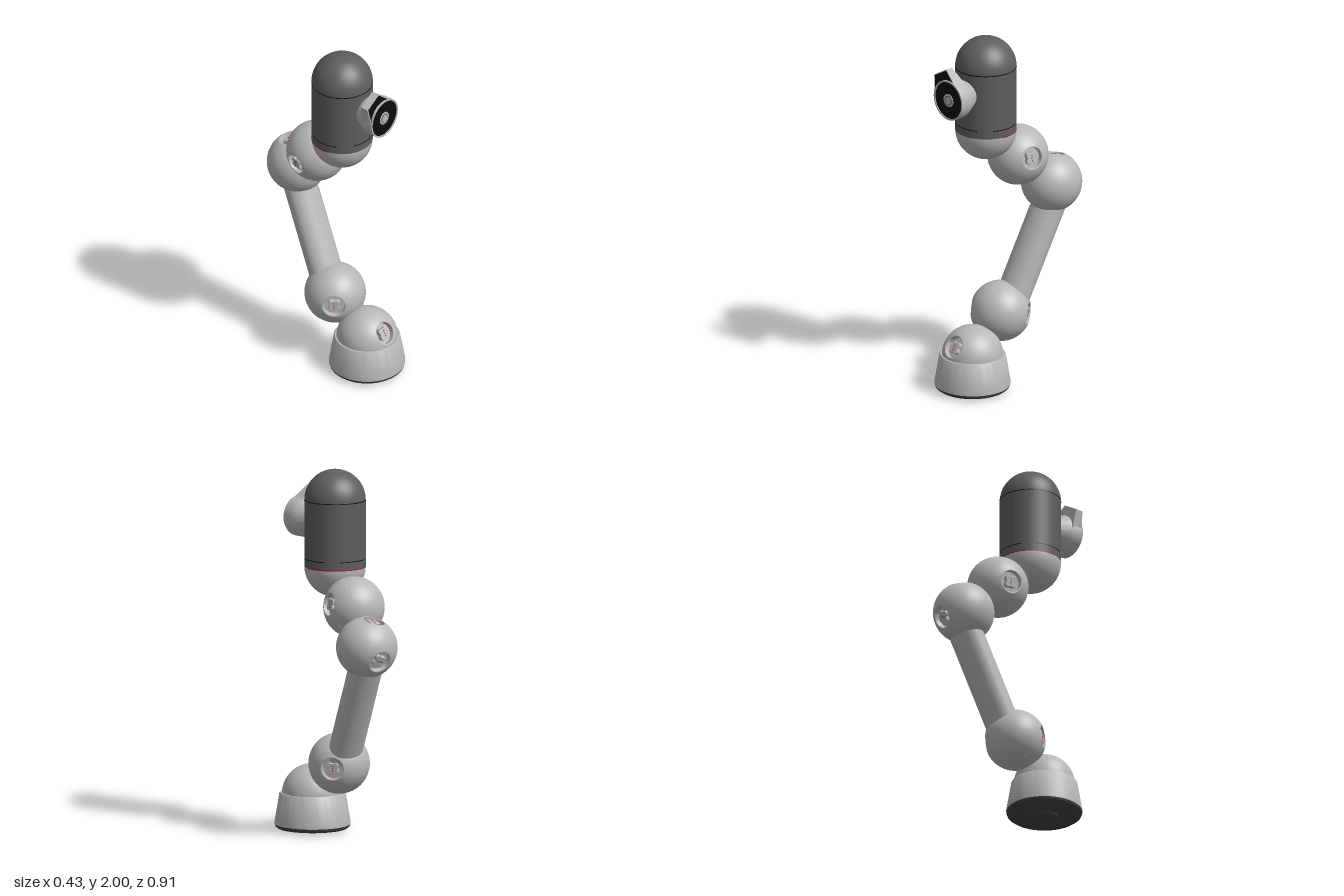
import * as THREE from 'three';
import { toCreasedNormals } from 'three/addons/utils/BufferGeometryUtils.js';

const mat = (name, color, side = THREE.FrontSide) => {
  const m = new THREE.MeshStandardMaterial({ color, side });
  m.name = name;
  return m;
};
const V = (x, y, z) => new THREE.Vector3(x, y, z);
const UP = V(0, 1, 0);
const R = 0.167;        // ball radius
const HOLE = 0.4;       // half angle of a socket opening
const GAP = 0.44;       // half angle of the patch left open around it

export function createModel() {
  const light = mat('light grey shell', 0xb8b8b8);
  const dark = mat('dark grey shell', 0x5e5e5e);
  const foot = mat('charcoal rubber', 0x404040);
  const black = mat('black', 0x0c0c0c);
  const red = mat('red', 0xb01020);

  const model = new THREE.Group();
  model.name = 'robotArm';
  const add = (parent, name, geo, material, x = 0, y = 0, z = 0) => {
    const mesh = new THREE.Mesh(geo, material);
    mesh.name = name;
    mesh.position.set(x, y, z);
    parent.add(mesh);
    return mesh;
  };
  const group = (parent, name, x, y, z) => {
    const g = new THREE.Group();
    g.name = name;
    g.position.set(x, y, z);
    parent.add(g);
    return g;
  };
  const lathe = (pts, seg = 64) => toCreasedNormals(
    new THREE.LatheGeometry(pts.map(p => new THREE.Vector2(...p)), seg), 0.5);

  // Socket: rounded collar, recessed well and a four-lobed plug, along local +y
  const collar = [];
  for (let i = 0; i <= 8; i++) {
    const a = 0.68 + (HOLE - 0.68) * i / 8;
    collar.push([R * Math.sin(a), R * Math.cos(a)]);
  }
  const rim = R * Math.sin(HOLE), lip = R * Math.cos(HOLE);
  const collarGeo = lathe([...collar, [rim - 0.005, lip - 0.001],
    [rim - 0.007, lip - 0.028], [0, lip - 0.028]], 48);
  const lobes = new THREE.Shape();
  for (let i = 0; i < 48; i++) {
    const a = i / 48 * Math.PI * 2;
    const r = 0.032 + 0.006 * Math.cos(4 * a);
    lobes[i ? 'lineTo' : 'moveTo'](r * Math.cos(a), r * Math.sin(a));
  }
  const plugGeo = new THREE.ExtrudeGeometry(lobes, {
    depth: 0.022, bevelEnabled: true, bevelSize: 0.002, bevelThickness: 0.002, bevelSegments: 1,
  }).rotateX(-Math.PI / 2).rotateY(Math.PI / 4);
  const pinGeo = new THREE.BoxGeometry(0.006, 0.002, 0.006);

  function socket(parent, dir) {
    const s = group(parent, 'socket', 0, 0, 0);
    s.quaternion.setFromUnitVectors(UP, dir);
    add(s, 'socketCollar', collarGeo, light);
    add(s, 'socketPlug', plugGeo, light, 0, lip - 0.028, 0);
    for (const k of [-1, 0, 1]) add(s, 'contactPin', pinGeo, red, 0, lip - 0.003, k * 0.014);
  }

  // Ball joint: sphere patches leave room for sockets on one great circle
  function ball(name, center, dirs) {
    const g = group(model, name, ...center);
    const d = dirs.map(v => V(...v).normalize());
    const other = d[1] && Math.abs(d[0].dot(d[1])) < 0.95 ? d[1] : UP;
    const axis = d[0].clone().cross(other).normalize();
    const third = d[0].clone().cross(axis);
    g.quaternion.setFromRotationMatrix(new THREE.Matrix4().makeBasis(d[0], axis, third));
    const cap = Math.PI / 2 - GAP;
    add(g, 'upperShell', new THREE.SphereGeometry(R, 64, 24, 0, Math.PI * 2, 0, cap), light);
    add(g, 'lowerShell', new THREE.SphereGeometry(R, 64, 24, 0, Math.PI * 2, Math.PI - cap, cap), light);
    const phis = d.map(v => {
      const p = Math.atan2(v.dot(third), -v.dot(d[0]));
      return (p + Math.PI * 2) % (Math.PI * 2);
    }).sort((a, b) => a - b);
    phis.forEach((p, i) => {
      const next = i + 1 < phis.length ? phis[i + 1] : phis[0] + Math.PI * 2;
      add(g, 'sideShell', new THREE.SphereGeometry(R, 48, 16, p + GAP, next - p - 2 * GAP, cap, 2 * GAP), light);
      socket(g, V(-Math.cos(p), 0, Math.sin(p)));
    });
  }

  // Base
  const base = group(model, 'base', -0.007, 0, 0.248);
  add(base, 'baseFoot', lathe([[0, 0], [0.07, 0], [0.075, 0.01], [0.19, 0.012], [0.203, 0.022], [0.207, 0.034]]), foot);
  add(base, 'baseHousing', lathe([[0.207, 0.034], [0.207, 0.045], [0.181, 0.2], [0.176, 0.207], [0.15, 0.207]]), light);

  // Joints from base to head
  ball('baseJoint', [-0.007, 0.198, 0.248], [[-0.05, 0.5, 0.86]]);
  ball('lowerJoint', [-0.015, 0.395, 0.03], [[-0.8, 0.05, 0.6], [0.8, -0.05, -0.6]]);
  ball('elbowJoint', [0.05, 1.083, -0.288], [[-0.13, 0.96, -0.23], [0.13, -0.4, -0.9]]);
  ball('wristJoint', [-0.015, 1.272, -0.098], [[0.95, 0.17, 0.2], [-0.95, -0.17, -0.2]]);

  // Oval arm tube between lower joint and elbow
  const a = V(0, 0.43, -0.027), b = V(0.053, 1.02, -0.3);
  const arm = add(model, 'armTube', new THREE.CylinderGeometry(1, 1, a.distanceTo(b), 48), light);
  arm.position.copy(a).lerp(b, 0.5);
  arm.scale.set(0.1, 1, 0.083);
  arm.quaternion.setFromUnitVectors(UP, b.clone().sub(a).normalize());

  // Head capsule
  const head = group(model, 'head', -0.05, 0, 0.108);
  const half = Math.PI / 2;
  add(head, 'headLowerCup', new THREE.SphereGeometry(R, 64, 24, 0, Math.PI * 2, half, half), light, 0, 1.467, 0);
  add(head, 'headBody', new THREE.CylinderGeometry(R, R, 0.366, 64, 1, true), dark, 0, 1.65, 0);
  add(head, 'headDome', new THREE.SphereGeometry(R, 64, 24, 0, Math.PI * 2, 0, half), dark, 0, 1.833, 0);
  const band = (name, y, start, length, material) => add(head, name,
    new THREE.CylinderGeometry(R + 0.001, R + 0.001, 0.005, 64, 1, true, start, length), material, 0, y, 0);
  band('domeSeam', 1.833, 0, Math.PI * 2, black);
  for (let i = 0; i < 4; i++) band('lowerSlot', 1.512, i * half - Math.PI / 6, Math.PI / 3, black);
  band('redSeam', 1.467, Math.PI * 0.44, Math.PI * 1.12, red);

  // Front tool: flared mount, black face and hub
  const tool = group(model, 'frontTool', -0.04, 1.71, 0);
  const flare = lathe([[0.055, 0.22], [0.075, 0.262], [0.095, 0.3], [0.108, 0.325], [0.113, 0.345],
    [0.113, 0.4], [0.104, 0.4], [0.104, 0.394]]).rotateX(half);
  add(tool, 'toolHousing', flare, light);
  const disc = (name, r, z, seg, material) =>
    add(tool, name, new THREE.CylinderGeometry(r, r, 0.006, seg).rotateX(half), material, 0, 0, z);
  disc('toolFace', 0.105, 0.392, 64, black);
  disc('hubRing', 0.037, 0.395, 32, light);
  disc('hubGroove', 0.027, 0.396, 32, dark);
  disc('hubBolt', 0.023, 0.398, 6, light);

  // Tapered tab leaning over the tool's upper side
  const outline = [[-0.092, 0.06], [0.092, 0.06], [0.054, 0.161], [-0.054, 0.161]];
  const shape = (s) => new THREE.Shape(outline.map(p =>
    new THREE.Vector2(p[0] * s, 0.06 + (p[1] - 0.06) * s)));
  const tab = group(tool, 'tab', 0, 0, 0);
  tab.rotation.z = Math.PI / 6;
  const taper = (geo) => {
    const p = geo.attributes.position;
    for (let i = 0; i < p.count; i++) {
      const t = (p.getY(i) - 0.06) / 0.101;
      p.setZ(i, 0.36 + (p.getZ(i) - 0.36) * (1 - 0.38 * t));
    }
    geo.computeVertexNormals();
    return geo;
  };
  add(tab, 'tabBody', taper(new THREE.ExtrudeGeometry(shape(1), { depth: 0.07, bevelEnabled: false })
    .translate(0, 0, 0.325)), light);
  add(tab, 'tabFace', taper(new THREE.ShapeGeometry(shape(0.95)).translate(0, 0, 0.397)), black);

  return model;
}
